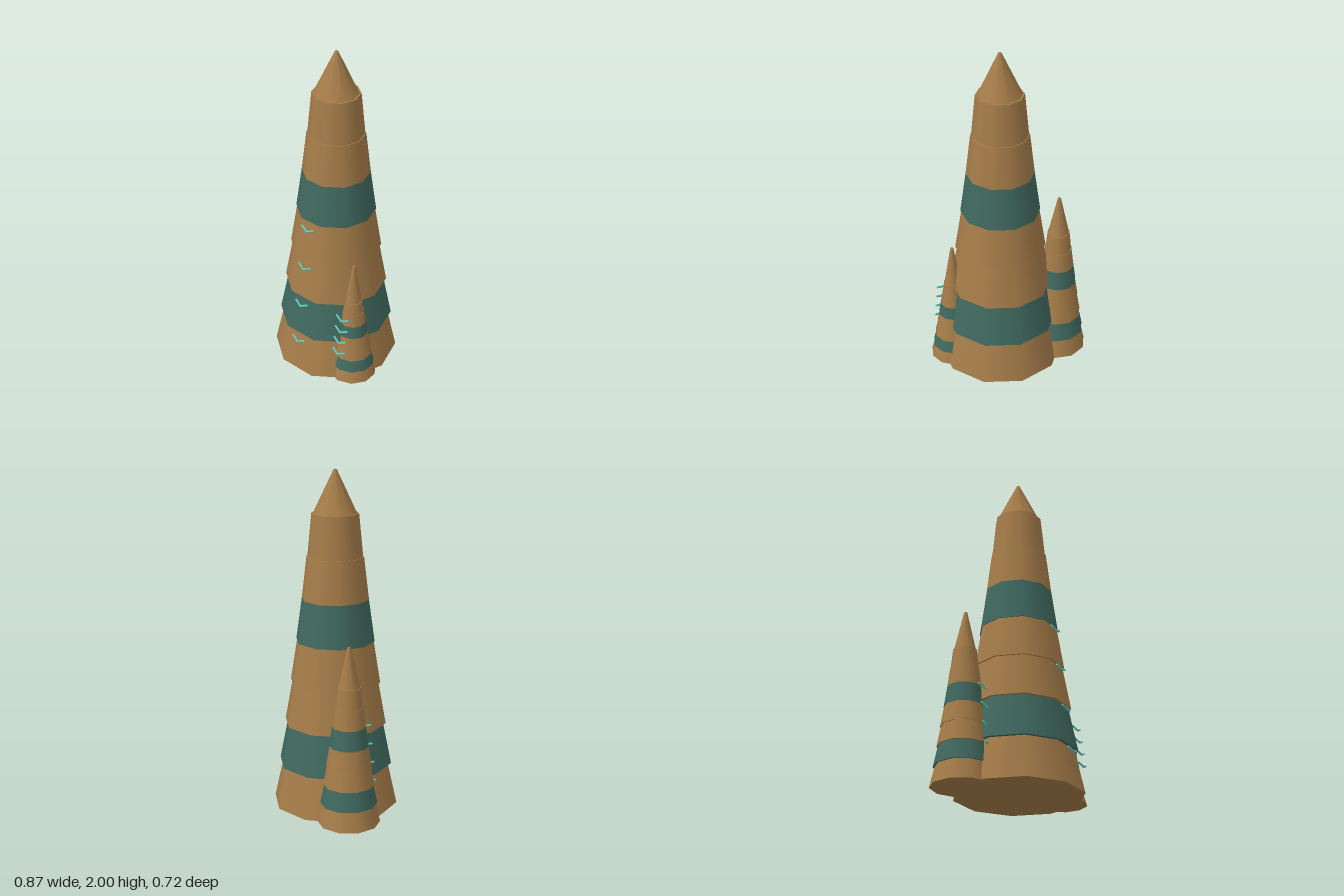
import * as THREE from 'three';

const brown = new THREE.MeshStandardMaterial({ name: 'brownStone', color: 0xa57c49 });
const teal = new THREE.MeshStandardMaterial({ name: 'tealStone', color: 0x40695f });
const aqua = new THREE.MeshStandardMaterial({ name: 'aquaGlow', color: 0x62c8b8 });

function addMesh(parent, name, geometry, material) {
  const mesh = new THREE.Mesh(geometry, material);
  mesh.name = name;
  parent.add(mesh);
  return mesh;
}

// Thin rod between two points
function rod(parent, name, a, b, radius) {
  const dir = b.clone().sub(a);
  const mesh = addMesh(parent, name, new THREE.CylinderGeometry(radius, radius, dir.length(), 6), aqua);
  mesh.position.copy(a).add(b).multiplyScalar(0.5);
  mesh.quaternion.setFromUnitVectors(new THREE.Vector3(0, 1, 0), dir.normalize());
}

// V mark whose point hangs lower and further forward than its ends
function chevron(y, z) {
  const group = new THREE.Group();
  group.name = 'chevron';
  for (const side of [-1, 1]) {
    rod(group, 'chevronArm', new THREE.Vector3(-0.002 * side, -0.006, 0.003),
      new THREE.Vector3(0.047 * side, 0.015, -0.010), 0.0065);
  }
  group.position.set(0, y, z);
  return group;
}

// Spire of seven tapered ten-sided tiers, a pointed cap and four chevrons
function spire({ name, x, z, radius, tier, height, turn, markZ, markStep }) {
  const group = new THREE.Group();
  group.name = name;
  const turnAngle = THREE.MathUtils.degToRad(turn);
  const tierRadius = (i) => radius * (1 - 0.09375 * i);

  for (let i = 0; i < 7; i++) {
    const r = tierRadius(i);
    const banded = i % 3 === 1;
    const mesh = addMesh(group, banded ? 'tealTier' : 'brownTier',
      new THREE.CylinderGeometry(r * 0.85, r, tier, 10), banded ? teal : brown);
    mesh.position.y = (i + 0.5) * tier;
    mesh.rotation.y = turnAngle;
  }

  // Pointed cap
  const capHeight = height - 7 * tier;
  const cap = addMesh(group, 'cap',
    new THREE.CylinderGeometry(0.009, tierRadius(7), capHeight, 10), brown);
  cap.position.y = 7 * tier + capHeight / 2;
  cap.rotation.y = turnAngle;

  // Chevrons climbing the front
  for (let i = 0; i < 4; i++) group.add(chevron(0.207 + i * tier, markZ - i * markStep));

  group.position.set(x, 0, z);
  return group;
}

export function createModel() {
  const model = new THREE.Group();
  model.name = 'spireCluster';
  model.add(
    spire({ name: 'mainSpire', x: 0.04, z: 0, radius: 0.373, tier: 0.25, height: 2,
      turn: 18, markZ: 0.347, markStep: 0.031 }),
    spire({ name: 'rightSpire', x: -0.258, z: -0.18, radius: 0.182, tier: 0.1163, height: 1.05,
      turn: -8, markZ: 0.178, markStep: 0.014 }),
    spire({ name: 'leftSpire', x: 0.296, z: 0.138, radius: 0.143, tier: 0.075, height: 0.765,
      turn: 2, markZ: 0.138, markStep: 0.011 }),
  );
  return model;
}
